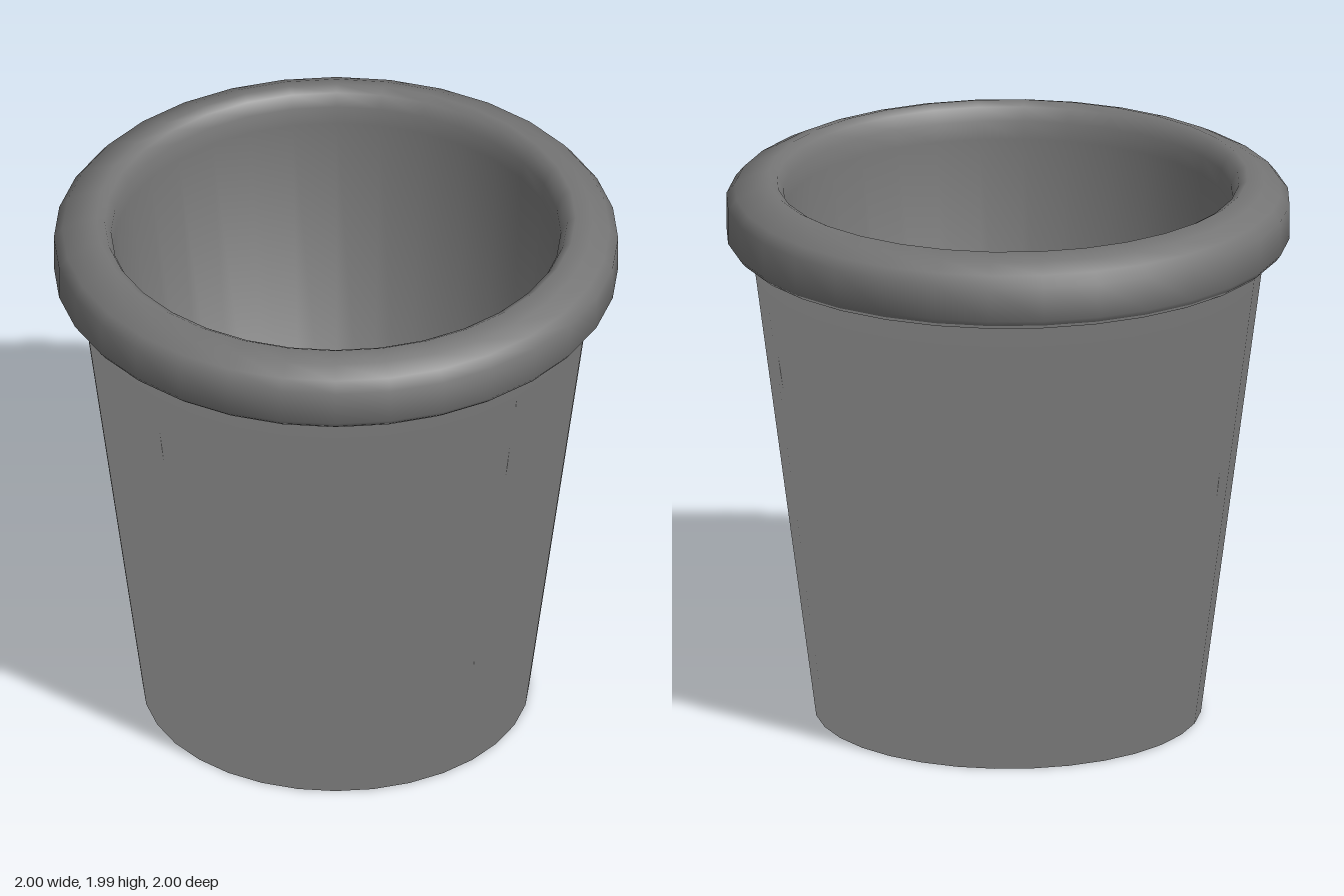
import * as THREE from 'three';

const SIDES = 32;

// Surface of revolution from [radius, height] points; each point's normal is the
// even average of its two neighbouring segments, so corners shade softly
function turned(name, color, points) {
  const profile = points.map(([r, y]) => new THREE.Vector2(r, y));
  const geometry = new THREE.LatheGeometry(profile, SIDES);
  const segments = profile.slice(1).map((p, j) => {
    const d = p.clone().sub(profile[j]).normalize();
    return new THREE.Vector2(d.y, -d.x);
  });
  const normals = profile.map((p, j) => {
    const before = segments[Math.max(j - 1, 0)];
    const after = segments[Math.min(j, segments.length - 1)];
    return before.clone().add(after).normalize();
  });
  for (let i = 0; i <= SIDES; i++) {
    const a = (i / SIDES) * Math.PI * 2;
    normals.forEach((n, j) => geometry.attributes.normal.setXYZ(
      i * normals.length + j, n.x * Math.sin(a), n.y, n.x * Math.cos(a)));
  }
  const mesh = new THREE.Mesh(
    geometry,
    new THREE.MeshStandardMaterial({ color, side: THREE.DoubleSide })
  );
  mesh.name = name;
  return mesh;
}

export function createModel() {
  const pot = new THREE.Group();
  pot.name = 'pot';

  // Flat base, tapered wall and the narrow lip under the rim
  pot.add(turned('body', 0xcccccc, [
    [0, 0], [0.685, 0], [0.912, 1.733], [0.965, 1.738], [0.985, 1.755],
  ]));

  // Darker thick rim, rolling over into the inner wall and floor
  pot.add(turned('rimAndInside', 0x757575, [
    [0.985, 1.755], [1, 1.775], [1, 1.9], [0.97, 1.937], [0.91, 1.968],
    [0.85, 1.987], [0.82, 1.97], [0.797, 1.925], [0.79, 1.86],
    [0.62, 0.08], [0, 0.08],
  ]));

  return pot;
}
